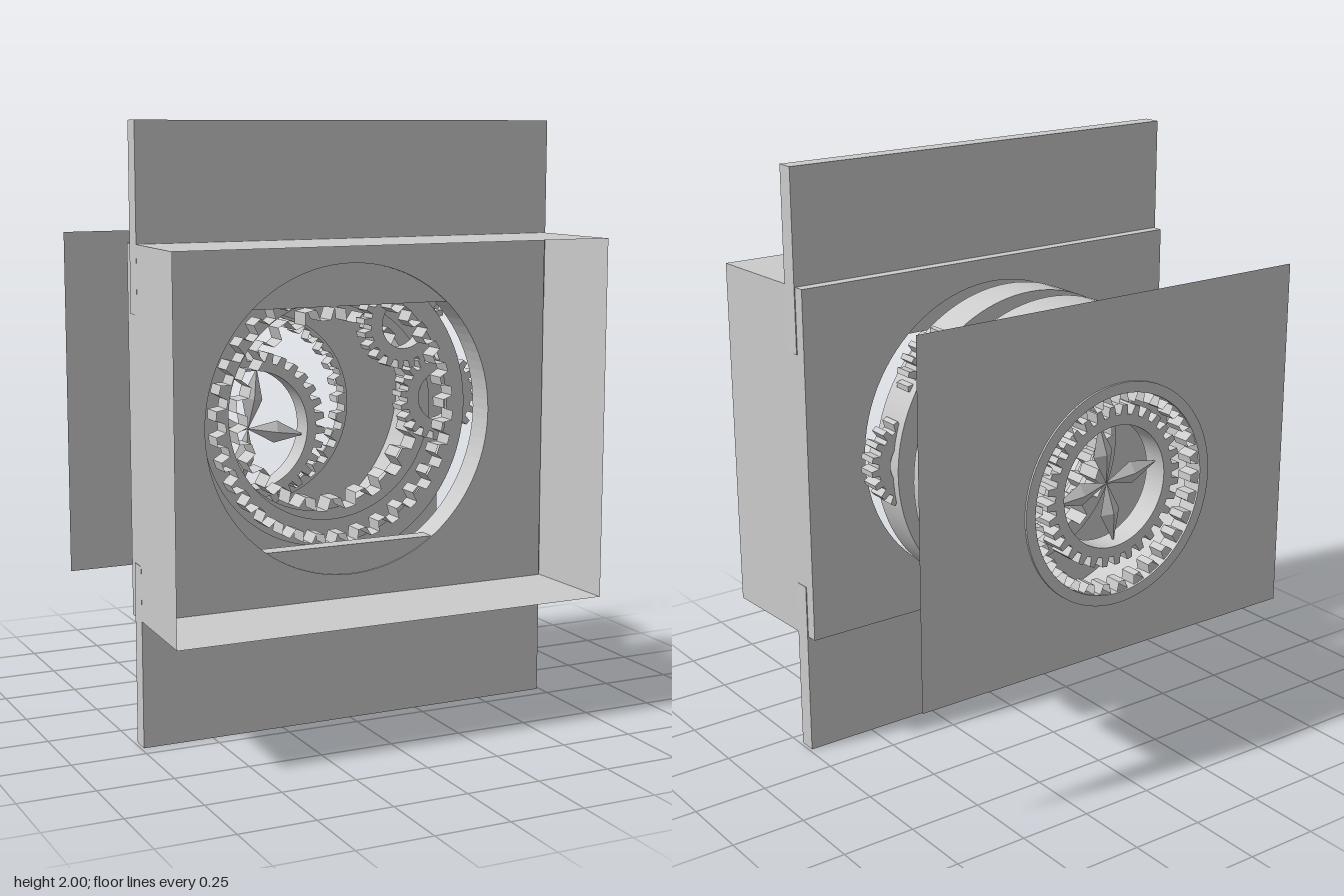
import * as THREE from 'three';

const AXIS_Y = 1.02;
const solid = new THREE.MeshStandardMaterial({ color: 0xcccccc });
const thin = new THREE.MeshStandardMaterial({ color: 0xcccccc, side: THREE.DoubleSide });

// Closed outline of a gear with tapered teeth
function gearPoints(root, tip, teeth) {
  const pts = [];
  const pitch = (Math.PI * 2) / teeth;
  for (let i = 0; i < teeth; i++) {
    for (const [f, r] of [[0, root], [0.38, root], [0.5, tip], [0.88, tip]]) {
      const a = (i + f) * pitch;
      pts.push(new THREE.Vector2(Math.cos(a) * r, Math.sin(a) * r));
    }
  }
  return pts;
}

function addHole(shape, x, y, r) {
  shape.holes.push(new THREE.Path().absarc(x, y, r, 0, Math.PI * 2, true));
  return shape;
}

function discShape(r) {
  return new THREE.Shape().absarc(0, 0, r, 0, Math.PI * 2, false);
}

function rectShape(w, h) {
  return new THREE.Shape([[-w, -h], [w, -h], [w, h], [-w, h]].map(([x, y]) => new THREE.Vector2(x, y)));
}

// Surface joining two equal outlines, faceted
function loft(a, b, z0, z1) {
  const pos = [];
  for (let i = 0; i < a.length; i++) {
    const j = (i + 1) % a.length;
    const p = [a[i].x, a[i].y, z0], q = [a[j].x, a[j].y, z0];
    const r = [b[j].x, b[j].y, z1], s = [b[i].x, b[i].y, z1];
    pos.push(...p, ...q, ...r, ...p, ...r, ...s);
  }
  const g = new THREE.BufferGeometry();
  g.setAttribute('position', new THREE.Float32BufferAttribute(pos, 3));
  g.computeVertexNormals();
  return g;
}

export function createModel() {
  const model = new THREE.Group();
  model.name = 'gearedViewer';

  const add = (name, geometry, material, x = 0, y = 0, z = 0, parent = model) => {
    const mesh = new THREE.Mesh(geometry, material);
    mesh.name = name;
    mesh.position.set(x, y, z);
    parent.add(mesh);
    return mesh;
  };
  const extrude = (shape, depth) =>
    new THREE.ExtrudeGeometry(shape, { depth, bevelEnabled: false, curveSegments: 48 });

  // Upper and lower slabs sliding into the hood
  add('upperSlab', new THREE.BoxGeometry(1.48, 0.6, 0.06), solid, 0, 1.7, 0.168);
  add('lowerSlab', new THREE.BoxGeometry(1.48, 0.6, 0.06), solid, 0, 0.3, 0.168);

  // Hood: back plate with a round opening and flared walls open to the front
  add('hoodPlate', extrude(addHole(rectShape(0.735, 0.6), 0, 0, 0.52), 0.103), solid, 0, AXIS_Y, 0.1);
  const near = rectShape(0.735, 0.6).getPoints().slice(0, 4);
  const far = rectShape(0.757, 0.6).getPoints().slice(0, 4);
  add('hoodWalls', loft(near, far, 0.1, 0.556), thin, 0, AXIS_Y);

  // Hollow drums: round wall with a pierced cap at each end
  const drum = (name, zBack, zFront, frontHole, backHole) => {
    const group = new THREE.Group();
    group.name = name;
    group.position.y = AXIS_Y;
    model.add(group);
    const wall = new THREE.CylinderGeometry(0.527, 0.527, zFront - zBack, 96, 1, true);
    wall.rotateX(Math.PI / 2);
    add('drumWall', wall, thin, 0, 0, (zFront + zBack) / 2, group);
    add('frontCap', new THREE.ShapeGeometry(addHole(discShape(0.527), ...frontHole), 48), thin, 0, 0, zFront, group);
    add('backCap', new THREE.ShapeGeometry(addHole(discShape(0.527), ...backHole), 48), thin, 0, 0, zBack, group);
  };
  drum('frontDrum', -0.11, 0.022, [0, 0, 0.457], [0.075, -0.015, 0.385]);
  drum('rearDrum', -0.488, -0.2, [0.075, -0.015, 0.37], [-0.025, -0.053, 0.345]);

  // Open toothed sleeves linking the plates and drums
  const sleeve = (name, x, y, root, tip, teeth, z0, z1) => {
    const pts = gearPoints(root, tip, teeth);
    add(name, loft(pts, pts, z0, z1), thin, x, y);
  };
  sleeve('frontSleeve', 0, AXIS_Y, 0.405, 0.44, 32, 0.022, 0.1);
  sleeve('middleSleeve', 0.075, 1.005, 0.315, 0.357, 20, -0.2, -0.11);
  sleeve('rearSleeve', -0.025, 0.967, 0.305, 0.337, 30, -0.55, -0.488);

  // Rear sheet and the flange around its opening
  add('rearSheet', new THREE.ShapeGeometry(addHole(rectShape(0.738, 0.6), -0.025, -0.053, 0.36), 48), thin, 0, AXIS_Y, -0.549);
  add('rearFlange', extrude(addHole(discShape(0.374), 0, 0, 0.338), 0.008), solid, -0.025, 0.967, -0.556);

  // Two small gears poking through the front drum
  for (const [name, x, y] of [['upperPinion', 0.31, 1.305], ['sidePinion', 0.452, 1.045]]) {
    const shape = addHole(new THREE.Shape(gearPoints(0.128, 0.155, 20)), 0, 0, 0.085);
    add(name, extrude(shape, 0.066), solid, x, y, -0.081);
  }

  // Toothed inner ring with a four-bladed cross
  const ring = new THREE.Group();
  ring.name = 'innerRing';
  ring.position.set(-0.14, 0.92, -0.39);
  model.add(ring);
  add('ringGear', extrude(addHole(new THREE.Shape(gearPoints(0.247, 0.28, 32)), 0, 0, 0.212), 0.09), solid, 0, 0, 0, ring);
  for (let i = 0; i < 4; i++) {
    const blade = new THREE.OctahedronGeometry(1, 0);
    blade.scale(0.04, 0.112, 0.022);
    blade.translate(0, 0.108, 0);
    const mesh = add('crossBlade', blade, solid, 0, 0, 0.045, ring);
    mesh.rotation.z = -0.16 + (i * Math.PI) / 2;
  }
  return model;
}
